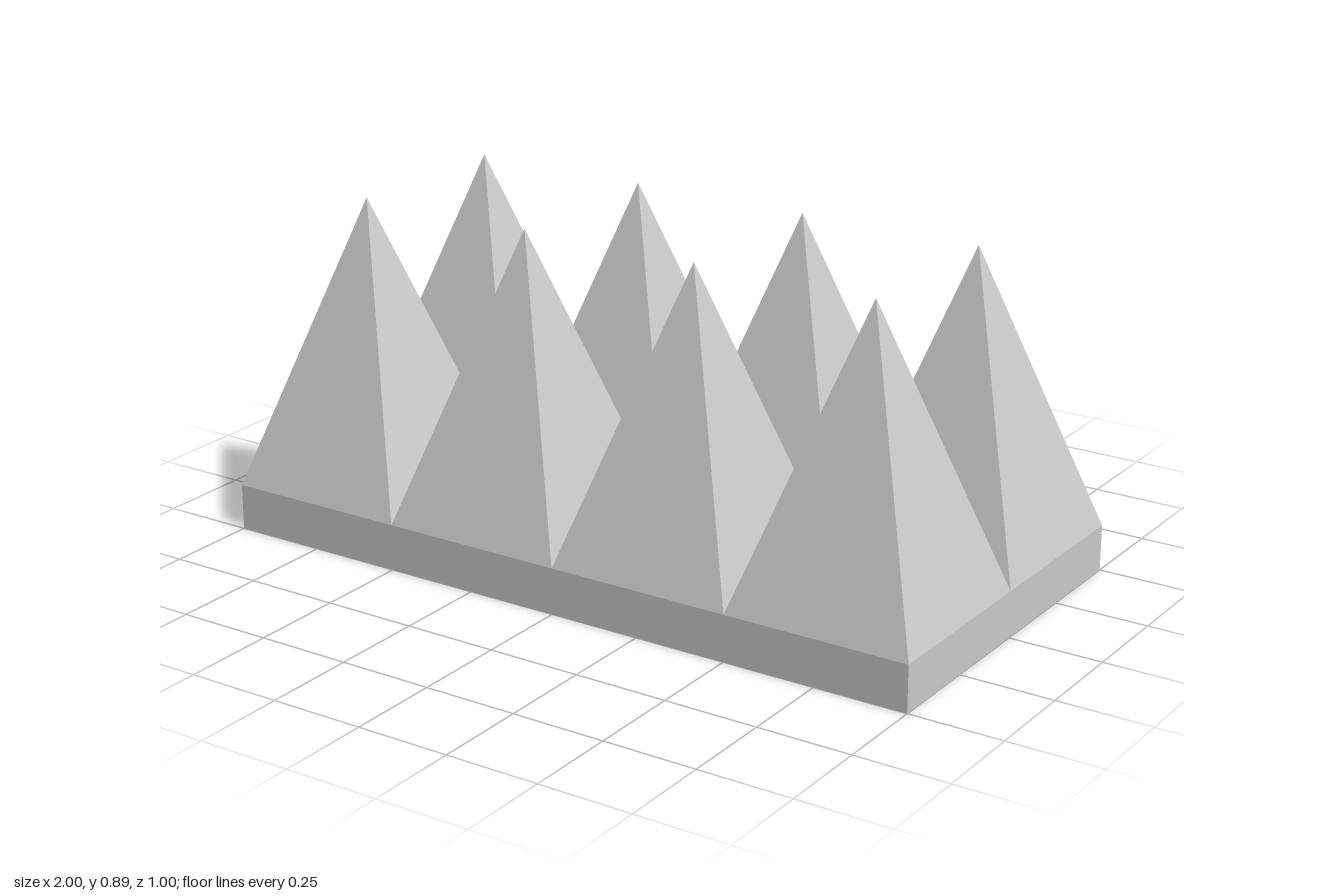
import * as THREE from 'three';

export function createModel() {
  const model = new THREE.Group();
  const material = new THREE.MeshStandardMaterial({ color: 0xcccccc, flatShading: true });
  const baseHeight = 0.123, topHeight = 0.887, cell = 0.5;
  const spikeHeight = topHeight - baseHeight;

  // Flat slab under the spikes
  const base = new THREE.Mesh(new THREE.BoxGeometry(4 * cell, baseHeight, 2 * cell), material);
  base.name = 'base';
  base.position.y = baseHeight / 2;
  model.add(base);

  // Square pyramid filling one cell, open underneath where it meets the slab
  const spikeGeometry = new THREE.ConeGeometry(cell * Math.SQRT1_2, spikeHeight, 4, 1, true);
  spikeGeometry.rotateY(Math.PI / 4);
  spikeGeometry.translate(0, spikeHeight / 2, 0);

  // Two rows of four spikes
  const spikes = new THREE.Group();
  spikes.name = 'spikes';
  for (let row = 0; row < 2; row++) {
    for (let column = 0; column < 4; column++) {
      const spike = new THREE.Mesh(spikeGeometry, material);
      spike.name = 'spike';
      spike.position.set((column - 1.5) * cell, baseHeight, (row - 0.5) * cell);
      spikes.add(spike);
    }
  }
  model.add(spikes);
  return model;
}
